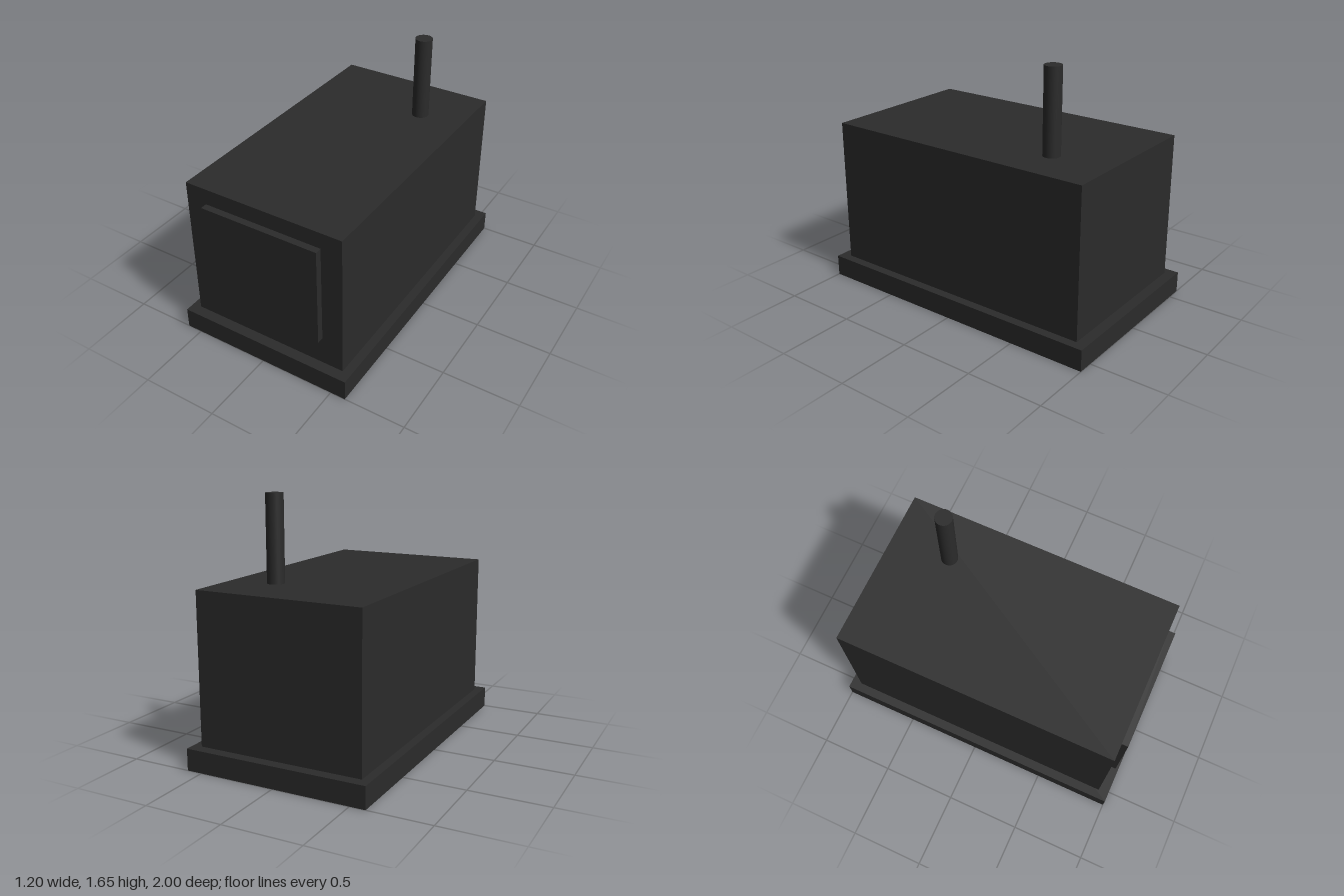
import * as THREE from 'three';

export function createModel() {
  const model = new THREE.Group();
  const iron = new THREE.MeshStandardMaterial({ color: 0x2b2b2b });
  iron.name = 'dark iron';

  const add = (name, geometry, x, y, z) => {
    const mesh = new THREE.Mesh(geometry, iron);
    mesh.name = name;
    mesh.position.set(x, y, z);
    model.add(mesh);
  };
  // Box standing on height y0
  const box = (name, w, h, d, y0, z = 0) =>
    add(name, new THREE.BoxGeometry(w, h, d), 0, y0 + h / 2, z);

  box('base', 1.2, 0.14, 2, 0);
  box('body', 1.084, 0.966, 1.86, 0.14);
  box('door', 0.804, 0.664, 0.045, 0.336, 0.9525);

  // Chimney pipe, towards the rear on the model's left
  const pipeHeight = 0.546;
  add('chimney', new THREE.CylinderGeometry(0.055, 0.055, pipeHeight, 32),
    0.242, 1.106 + pipeHeight / 2, -0.53);

  return model;
}
